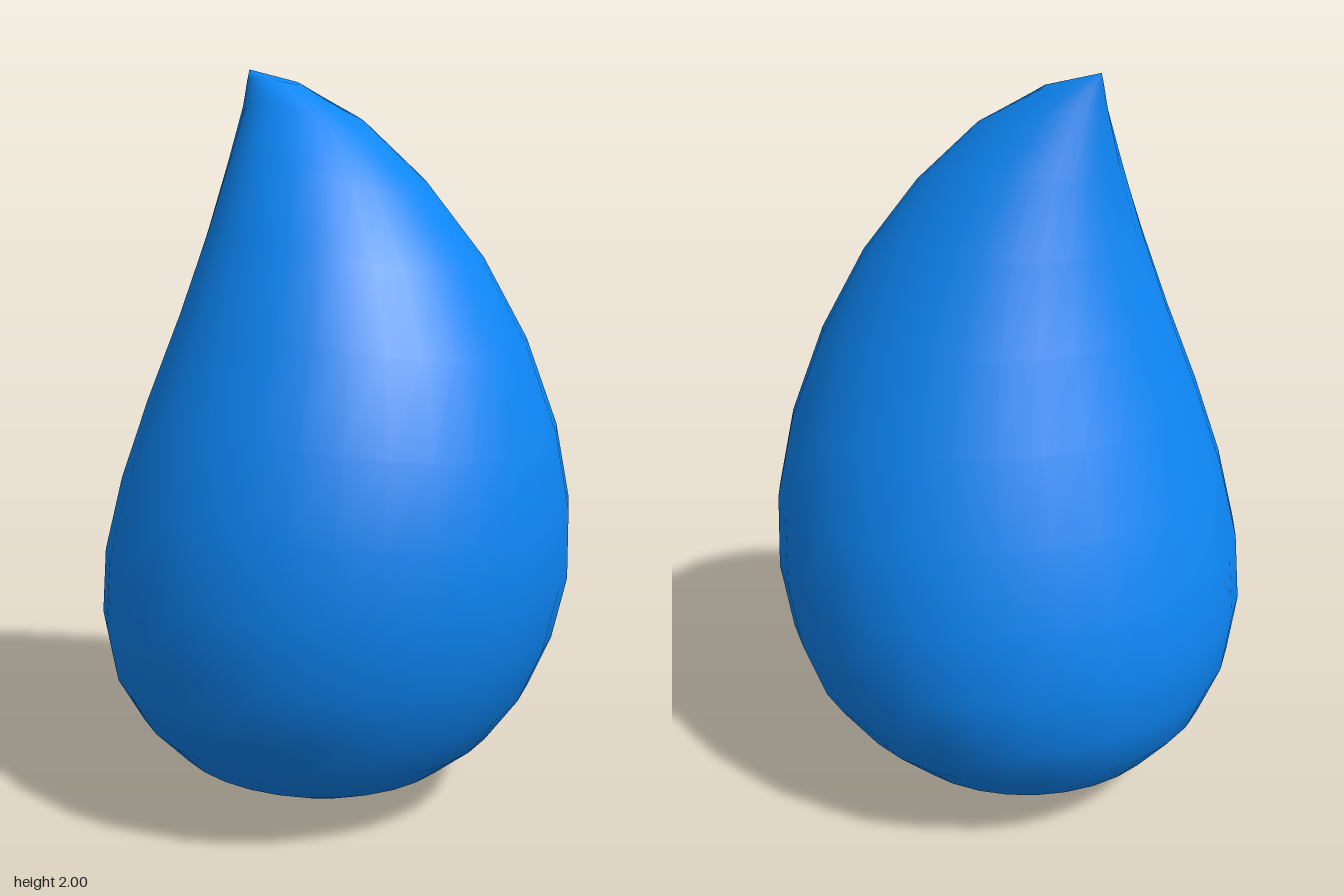
import * as THREE from 'three';

// Tilted cross-sections, bottom to top: left x, left y, right x, right y, half depth in z, arch
const RINGS = [
  [-0.22, 0.02, 0.06, 0.016, 0.13, 0],
  [-0.36, 0.07, 0.2, 0.055, 0.26, 0],
  [-0.475, 0.15, 0.33, 0.12, 0.4, 0],
  [-0.57, 0.265, 0.44, 0.21, 0.505, 0],
  [-0.62, 0.4, 0.53, 0.335, 0.595, 0],
  [-0.637, 0.56, 0.595, 0.485, 0.64, 0.005],
  [-0.615, 0.74, 0.635, 0.655, 0.65, 0.01],
  [-0.555, 0.94, 0.635, 0.845, 0.625, 0.015],
  [-0.48, 1.15, 0.6, 1.05, 0.56, 0.02],
  [-0.403, 1.36, 0.52, 1.28, 0.46, 0.03],
  [-0.34, 1.575, 0.405, 1.49, 0.35, 0.035],
  [-0.305, 1.757, 0.255, 1.68, 0.233, 0.036],
  [-0.292, 1.9, 0.095, 1.83, 0.115, 0.035],
  [-0.29, 1.97, -0.12, 1.955, 0.045, 0.01],
];
const SIDES = 32;

// Skin of the drop: elliptical rings closed by a pole at each end
function dropGeometry() {
  const pos = [];
  const index = [];
  for (const [lx, ly, rx, ry, depth, arch] of RINGS) {
    for (let i = 0; i < SIDES; i++) {
      const a = (i / SIDES) * Math.PI * 2;
      const t = (1 + Math.cos(a)) / 2;
      const s = Math.sin(a);
      pos.push(lx + (rx - lx) * t, ly + (ry - ly) * t + arch * s * s, depth * s);
    }
  }
  const bottom = pos.length / 3;
  pos.push(-0.08, 0, 0, -0.29, 2, 0);
  const last = (RINGS.length - 1) * SIDES;
  for (let i = 0; i < SIDES; i++) {
    const j = (i + 1) % SIDES;
    index.push(bottom, i, j, bottom + 1, last + j, last + i);
    for (let r = 0; r < last; r += SIDES) {
      index.push(r + i, r + SIDES + i, r + j, r + j, r + SIDES + i, r + SIDES + j);
    }
  }
  const geometry = new THREE.BufferGeometry();
  geometry.setAttribute('position', new THREE.Float32BufferAttribute(pos, 3));
  geometry.setIndex(index);
  geometry.computeVertexNormals();
  return geometry;
}

export function createModel() {
  const group = new THREE.Group();
  group.name = 'waterDrop';
  const drop = new THREE.Mesh(dropGeometry(), new THREE.MeshStandardMaterial({ color: 0x0d86f5 }));
  drop.name = 'dropBody';
  group.add(drop);
  return group;
}
